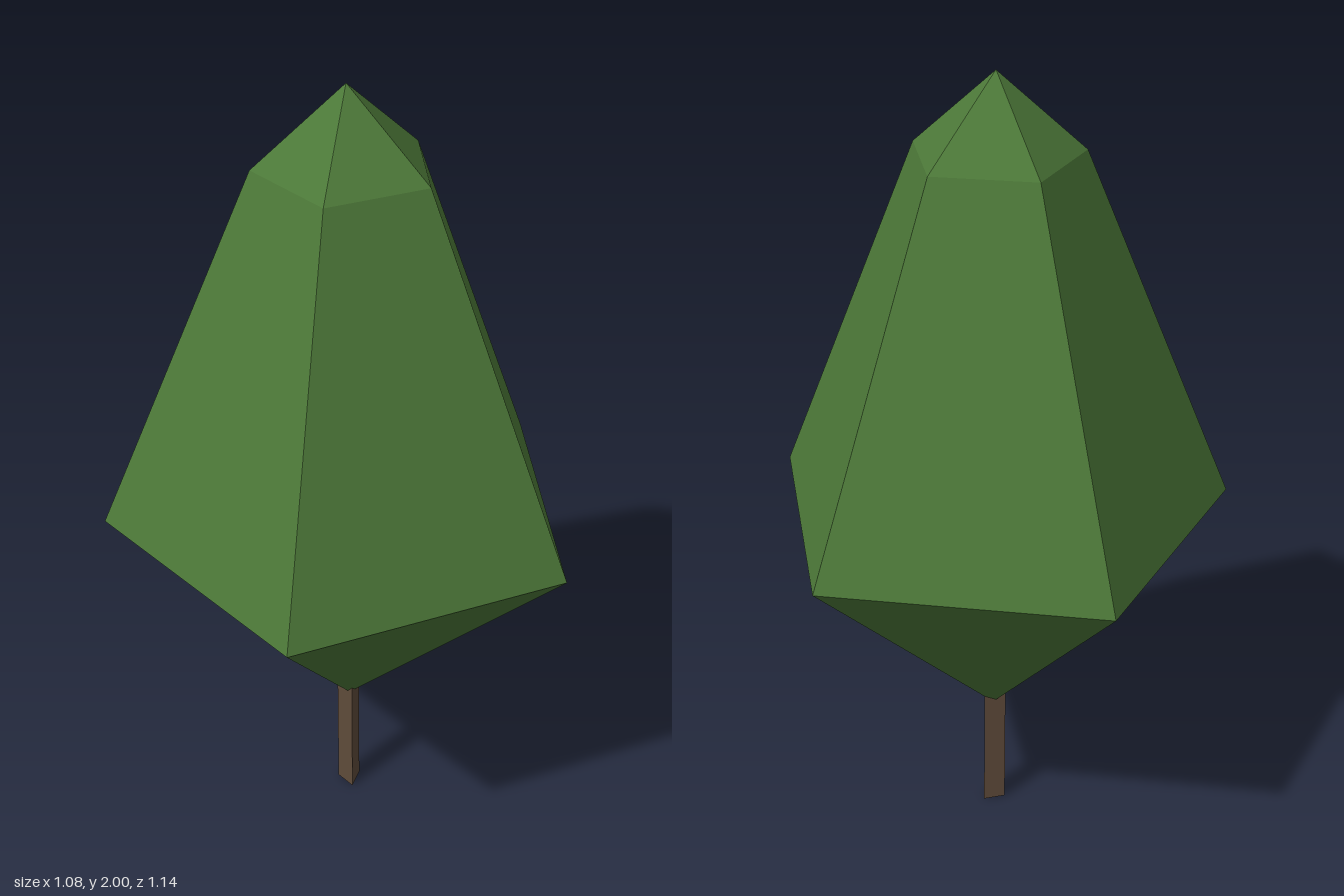
import * as THREE from 'three';

export function createModel() {
  const tree = new THREE.Group();
  tree.name = 'tree';

  const leafGreen = new THREE.MeshStandardMaterial({ color: 0x4c7838, flatShading: true });
  leafGreen.name = 'leaf green';
  const barkBrown = new THREE.MeshStandardMaterial({ color: 0x5f4b3a, flatShading: true });
  barkBrown.name = 'bark brown';

  // The five-sided crown points to +x, so its axis sits left of centre
  const axisX = -0.057;

  // Crown: profile [radius, height] turned with five sides
  const profile = [[0, 0.3], [0.597, 0.885], [0.215, 1.803], [0, 2]]
    .map(([r, y]) => new THREE.Vector2(r, y));
  const crown = new THREE.Mesh(new THREE.LatheGeometry(profile, 5, Math.PI / 2), leafGreen);
  crown.name = 'crown';
  crown.position.x = axisX;

  // Trunk: three-sided post running up into the crown
  const trunkHeight = 0.4;
  const trunk = new THREE.Mesh(
    new THREE.CylinderGeometry(0.033, 0.033, trunkHeight, 3, 1, false, Math.PI / 2), barkBrown);
  trunk.name = 'trunk';
  trunk.position.set(axisX, trunkHeight / 2, 0);

  tree.add(crown, trunk);
  return tree;
}
